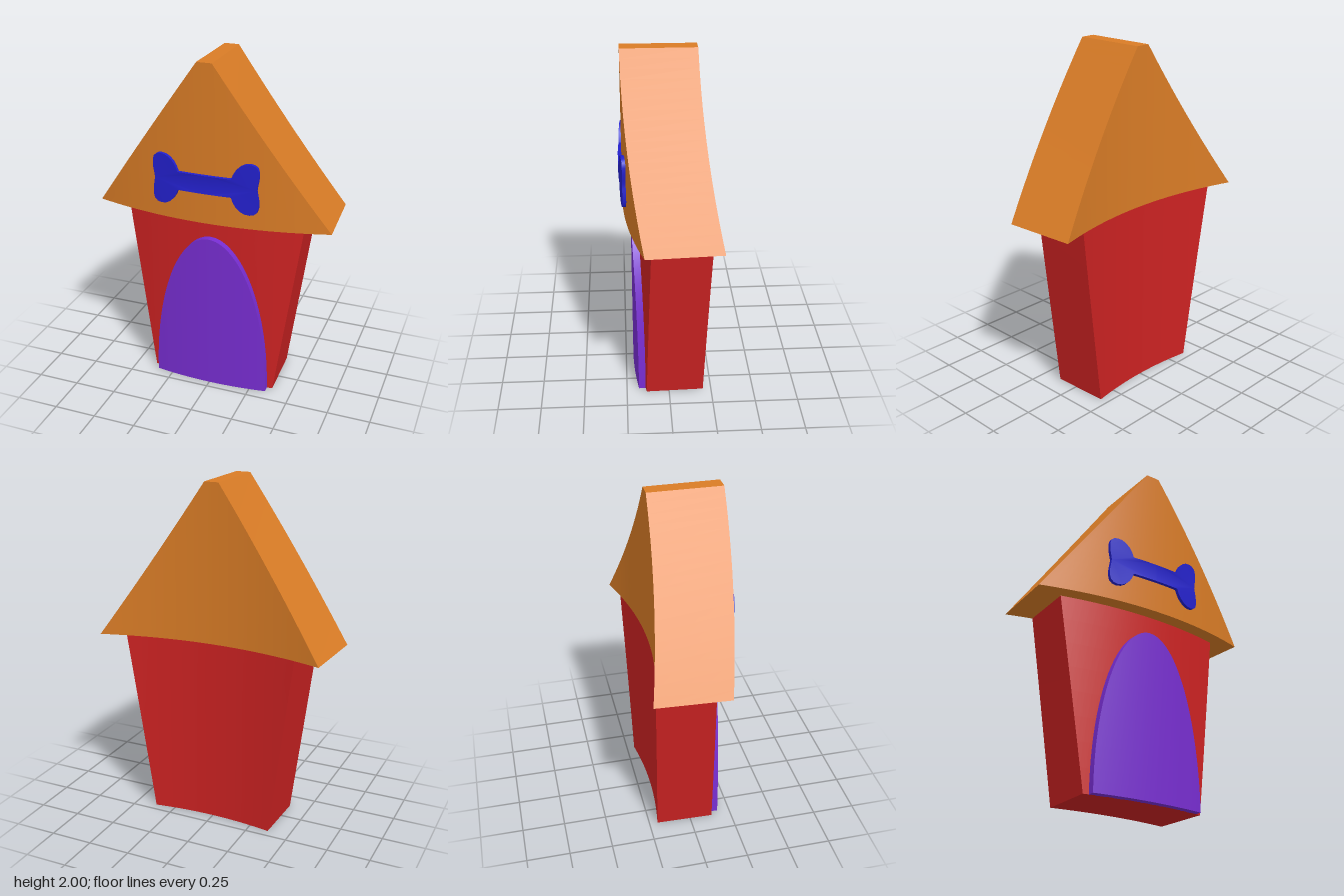
import * as THREE from 'three';
import { toCreasedNormals } from 'three/addons/utils/BufferGeometryUtils.js';

const BEND = 0.22;   // how far the sides curve backwards
const TAPER = 0.08;  // narrowing towards the back

// Curve a straight geometry backwards around the vertical centre plane
function bend(geo, front) {
  const p = geo.attributes.position;
  for (let i = 0; i < p.count; i++) {
    const x = p.getX(i), z = p.getZ(i);
    p.setXYZ(i, x * (1 + TAPER * (z - front)), p.getY(i), z - BEND * x * x);
  }
  return geo;
}

// Bent slab; profile(v) gives [half width, height] for v = 0 (bottom) to 1 (top)
function bentSlab(back, front, rows, profile) {
  const geo = new THREE.BoxGeometry(2, 1, front - back, 24, rows, 1);
  geo.translate(0, 0.5, (front + back) / 2);
  const p = geo.attributes.position;
  for (let i = 0; i < p.count; i++) {
    const [halfWidth, y] = profile(p.getY(i));
    p.setXY(i, p.getX(i) * halfWidth, y);
  }
  bend(geo, front).computeVertexNormals();
  return geo;
}

// Bone outline: one lobe quarter mirrored to all four corners
function boneShape() {
  const cy = 1.328;
  const quarter = [
    [0, 0.053], [0.05, 0.053], [0.1, 0.053], [0.155, 0.053], [0.166, 0.082],
    [0.182, 0.108], [0.205, 0.13], [0.23, 0.143], [0.258, 0.147], [0.282, 0.142],
    [0.3, 0.127], [0.307, 0.1], [0.306, 0.06], [0.3, 0.025], [0.296, 0],
  ];
  const right = [...quarter, ...quarter.slice(0, -1).reverse().map(([x, y]) => [x, -y])];
  const left = right.slice(1, -1).reverse().map(([x, y]) => [-x, y]);
  return new THREE.Shape([...right, ...left].map(([x, y]) => new THREE.Vector2(x, cy + y)));
}

export function createModel() {
  const model = new THREE.Group();
  const add = (name, geo, color) => {
    const mesh = new THREE.Mesh(geo, new THREE.MeshStandardMaterial({ color }));
    mesh.name = name;
    model.add(mesh);
  };
  const lerp = THREE.MathUtils.lerp;

  // Walls flare outwards towards the eaves
  add('walls', bentSlab(-0.17, 0.165, 8,
    v => [lerp(0.38, 0.532, v), 1.09 * v]), 0xcc2222);

  // Gable roof with a narrow flat ridge
  add('roof', bentSlab(-0.17, 0.25, 20,
    v => [lerp(0.693, 0.043, v), lerp(1.09, 2, v)]), 0xd97c26);

  // Raised doorway, half an ellipse
  add('door', bentSlab(0.16, 0.205, 24, v => {
    const a = v * Math.PI / 2;
    return [0.348 * Math.cos(a), 0.968 * Math.sin(a)];
  }), 0x772dd0);

  // Bone plaque on the gable
  const bone = new THREE.ExtrudeGeometry(boneShape(), { depth: 0.035, bevelEnabled: false });
  bone.translate(0, 0, 0.235);
  add('bone', toCreasedNormals(bend(bone, 0.27), 0.7), 0x2320cc);

  return model;
}
